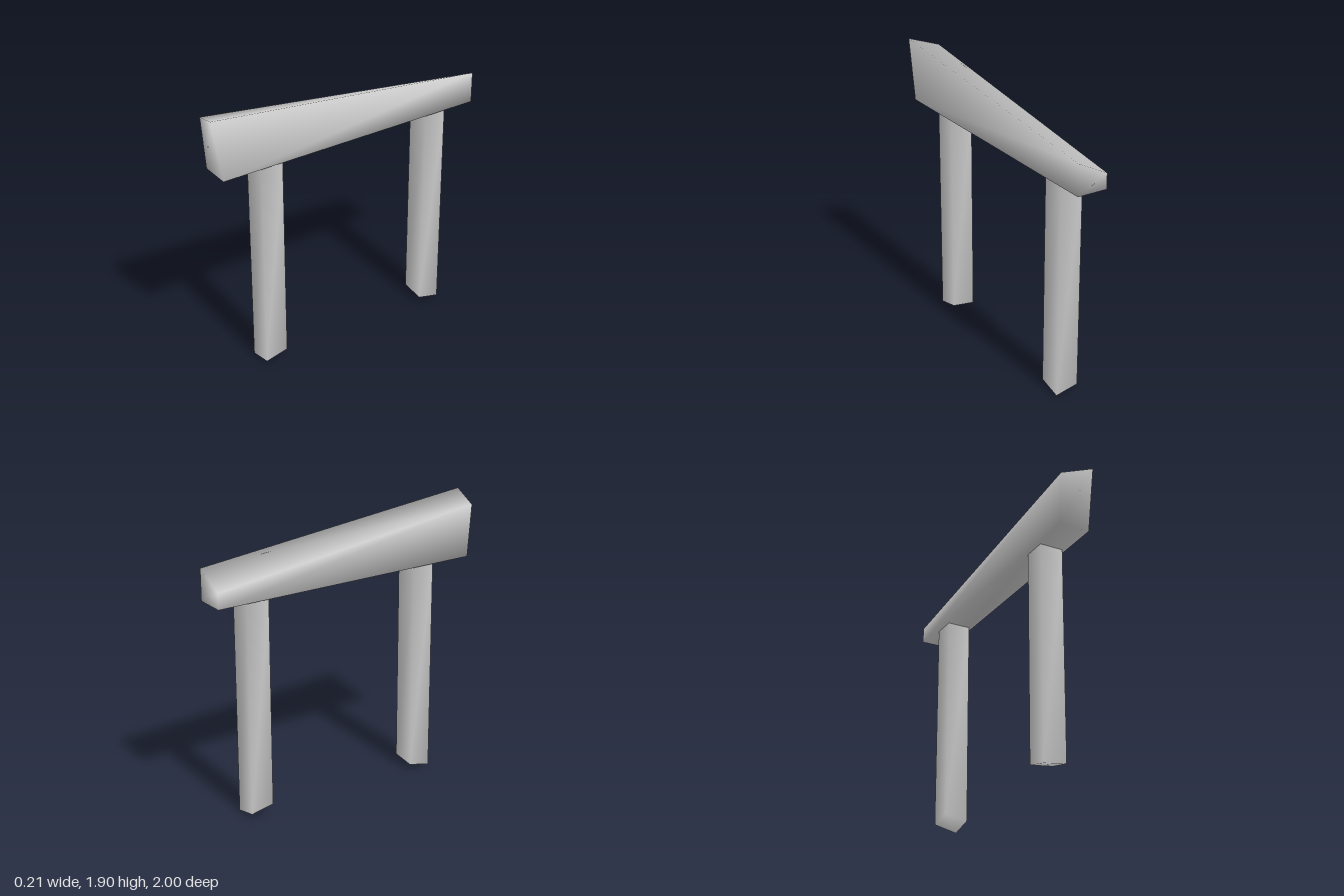
import * as THREE from 'three';

const material = new THREE.MeshStandardMaterial({ color: 0xcccccc });

// Six-sided block with shared corners, so its normals are smooth.
// Each ring runs: (-x,+z), (+x,+z), (+x,-z), (-x,-z)
function block(name, bottom, top) {
  const geometry = new THREE.BufferGeometry();
  geometry.setAttribute('position', new THREE.Float32BufferAttribute([...bottom, ...top].flat(), 3));
  const index = [0, 2, 1, 0, 3, 2, 4, 5, 6, 4, 6, 7];
  for (let i = 0; i < 4; i++) {
    const j = (i + 1) % 4;
    index.push(i, j, j + 4, i, j + 4, i + 4);
  }
  geometry.setIndex(index);
  geometry.computeVertexNormals();
  const mesh = new THREE.Mesh(geometry, material);
  mesh.name = name;
  return mesh;
}

// Square post with a slanted foot; heights follow the ring order
function post(name, z, heights) {
  const r = 0.08;
  const ring = [[-r, z + r], [r, z + r], [r, z - r], [-r, z - r]];
  return block(name,
    ring.map(([x, pz], i) => [x, heights[i], pz]),
    ring.map(([x, pz]) => [x, 1.482, pz]));
}

export function createModel() {
  const group = new THREE.Group();
  group.name = 'postAndBeam';

  // Tapered beam, taller at the front and on its +x side
  const w = 0.104, y = 1.48;
  group.add(block('beam',
    [[-w, y, 0.925], [w, y, 0.93], [w, y, -1], [-w, y, -1]],
    [[-w, 1.835, 0.953], [w, 1.9, 1], [w, 1.69, -1], [-w, 1.585, -1]]));

  // Posts
  group.add(post('frontPost', 0.57, [0, 0.025, 0.06, 0.04]));
  group.add(post('backPost', -0.71, [0.065, 0.04, 0, 0.035]));
  return group;
}
